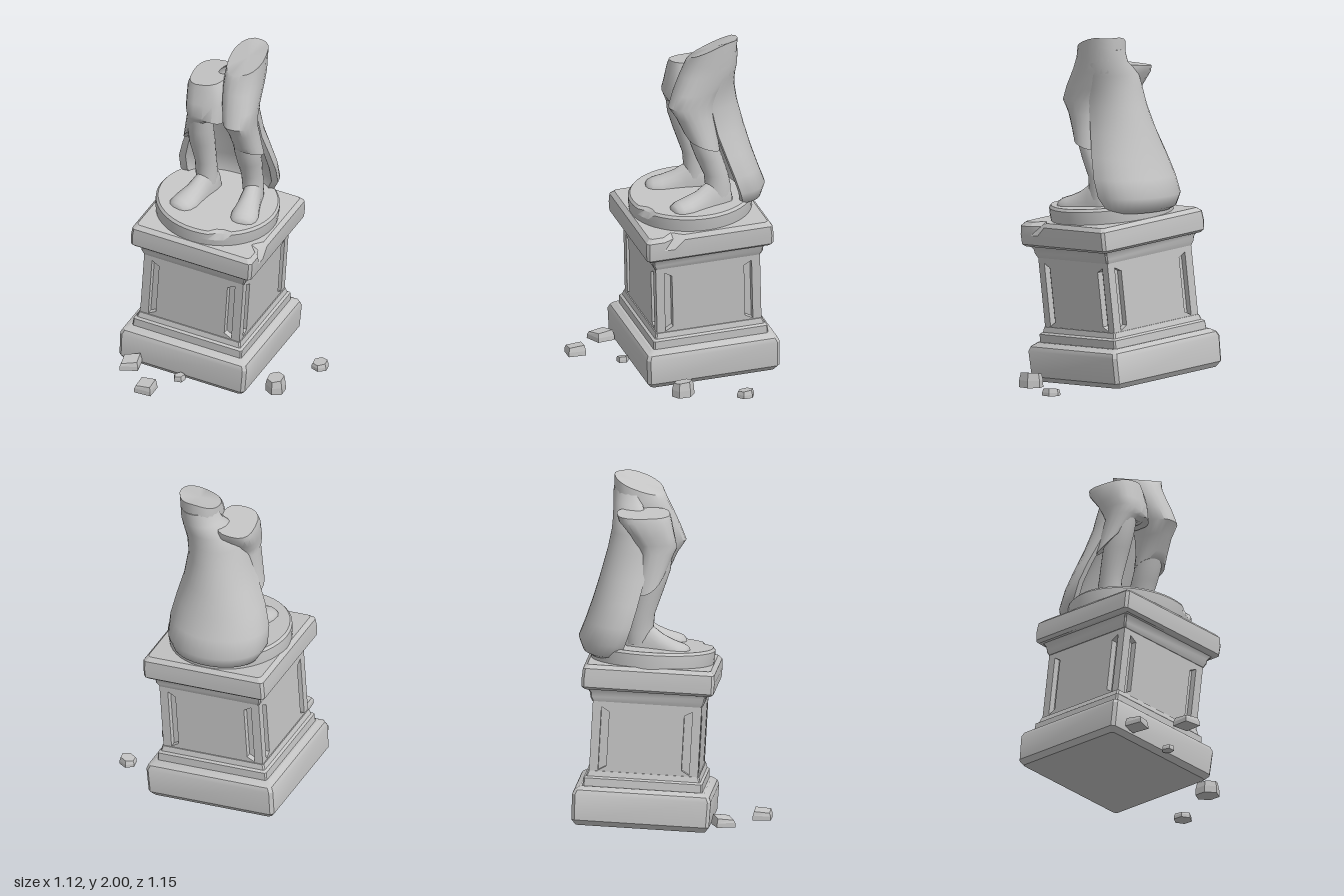
import * as THREE from 'three';
import { toCreasedNormals } from 'three/addons/utils/BufferGeometryUtils.js';

const stone = new THREE.MeshStandardMaterial({ color: 0xc4c4c4 });
stone.name = 'grey stone';

const V = (x, y, z) => new THREE.Vector3(x, y, z);

// Closed skin over rings of points (counter-clockwise from above, listed upward)
function loft(rings, crease = 0.7) {
  const n = rings[0].length, pos = [], idx = [];
  const push = (p) => pos.push(p.x, p.y, p.z) / 3 - 1;
  rings.forEach((r) => r.forEach(push));
  for (let k = 0; k < rings.length - 1; k++) {
    for (let i = 0; i < n; i++) {
      const a = k * n + i, b = k * n + (i + 1) % n;
      idx.push(a, b, b + n, a, b + n, a + n);
    }
  }
  [rings[0], rings[rings.length - 1]].forEach((r, top) => {
    const c = r.reduce((s, p) => s.add(p), V(0, 0, 0)).divideScalar(n);
    const ci = push(c), first = r.map(push)[0];
    for (let i = 0; i < n; i++) {
      const a = first + i, b = first + (i + 1) % n;
      if (top) idx.push(ci, a, b); else idx.push(ci, b, a);
    }
  });
  const g = new THREE.BufferGeometry();
  g.setAttribute('position', new THREE.Float32BufferAttribute(pos, 3));
  g.setIndex(idx);
  return toCreasedNormals(g, crease);
}

// Ellipse ring; power below 1 makes it boxier, y may be a rule of x and z
function oval(y, cx, cz, rx, rz, power = 1, n = 20) {
  const bend = (v) => Math.sign(v) * Math.abs(v) ** power;
  return Array.from({ length: n }, (_, i) => {
    const a = i / n * Math.PI * 2;
    const x = cx + rx * bend(Math.cos(a)), z = cz - rz * bend(Math.sin(a));
    return V(x, typeof y === 'function' ? y(x, z) : y, z);
  });
}

// Square ring with cut corners and an optional notch in the +x side
function square(y, h, c = 0.02, notch = null) {
  const pts = [];
  for (let k = 0; k < 4; k++) {
    const side = [[h, c - h], [h, h - c]];
    if (k === 0 && notch !== null) side.splice(1, 0, [h, -0.27], [h - notch, -0.21], [h, -0.15]);
    side.forEach(([u, v]) => {
      for (let t = 0; t < k; t++) [u, v] = [-v, u];
      pts.push(V(u, y, -v));
    });
  }
  return pts;
}

function add(parent, name, geometry) {
  const m = new THREE.Mesh(geometry, stone);
  m.name = name;
  parent.add(m);
  return m;
}

function makePedestal() {
  const g = new THREE.Group();
  g.name = 'pedestal';
  const block = (name, list) => add(g, name, loft(list.map(([y, h, c]) => square(y, h, c)), 0.5));
  block('base', [[0, 0.365, 0.015], [0.03, 0.388, 0.018], [0.175, 0.391, 0.018], [0.2, 0.38, 0.018],
    [0.22, 0.35, 0.018]]);
  block('lowerMoulding', [[0.215, 0.338, 0.008], [0.265, 0.335, 0.008], [0.275, 0.322, 0.008], [0.305, 0.313, 0.008]]);
  block('bodyCore', [[0.28, 0.272, 0.01], [0.76, 0.272, 0.01]]);
  block('upperMoulding', [[0.7, 0.311, 0.008], [0.725, 0.322, 0.008], [0.75, 0.325, 0.008], [0.78, 0.345, 0.008]]);

  // Body faces, each with two upright slots
  const face = new THREE.Shape([[-0.307, 0.28], [0.307, 0.28], [0.307, 0.74], [-0.307, 0.74]]
    .map(([x, y]) => new THREE.Vector2(x, y)));
  for (const s of [-1, 1]) {
    face.holes.push(new THREE.Path([[0.257, 0.31], [0.257, 0.67], [0.212, 0.645], [0.212, 0.335]]
      .map(([x, y]) => new THREE.Vector2(s * x, y))));
  }
  const faceGeometry = new THREE.ExtrudeGeometry(face, { depth: 0.037, bevelEnabled: false });
  faceGeometry.translate(0, 0, 0.27);
  for (let k = 0; k < 4; k++) add(g, 'bodyFace', faceGeometry).rotation.y = k * Math.PI / 2;

  // Chipped cap slab
  add(g, 'cap', loft([
    square(0.77, 0.355, 0.012, 0), square(0.785, 0.372, 0.015, 0), square(0.84, 0.374, 0.015, 0),
    square(0.89, 0.37, 0.015, 0.03), square(0.912, 0.348, 0.015, 0.05),
  ], 0.5));

  // Round plinth with a chip in its front rim
  const disc = [[0.9, 0.345, 1], [0.95, 0.35, 1], [0.985, 0.35, 0.95], [1.0, 0.338, 0.92]];
  add(g, 'roundPlinth', loft(disc.map(([y, r, chip]) => oval(y, -0.01, 0, r, r, 1, 48)
    .map((p, i) => (i === 39 || i === 40 ? V(p.x * chip, p.y, p.z * chip) : p))), 0.5));

  g.rotation.set(0.06, -0.13, -0.08, 'XZY');
  g.position.set(-0.135, 0.054, -0.148);
  return g;
}

// Bare foot with a flat sole, pointing along +z from the ankle
function addFoot(parent, name, x, y, z, turn) {
  const sections = [[-0.085, 0.03, 0.06], [-0.07, 0.05, 0.11], [-0.02, 0.058, 0.17], [0.05, 0.06, 0.14],
    [0.12, 0.068, 0.095], [0.19, 0.08, 0.068], [0.24, 0.076, 0.055], [0.27, 0.058, 0.042], [0.283, 0.03, 0.025]];
  const geo = loft(sections.map(([t, w, h]) => oval(t, 0, 0, w, h)
    .map((p) => V(p.x, p.y, Math.min(p.z, 0)))), 0.9);
  geo.rotateX(Math.PI / 2);
  const foot = add(parent, name, geo);
  foot.position.set(x, y, z);
  foot.rotation.set(0.05, turn, -0.08);
}

function makeFigure() {
  const g = new THREE.Group();
  g.name = 'brokenFigure';
  const limb = (name, list) => add(g, name, loft(list.map((s) => oval(...s)), 0.8));

  // Calves and feet
  limb('leftCalf', [[1.05, 0.115, -0.18, 0.055, 0.075], [1.13, 0.113, -0.18, 0.06, 0.074],
    [1.2, 0.11, -0.17, 0.06, 0.07], [1.3, 0.108, -0.13, 0.07, 0.076], [1.38, 0.105, -0.1, 0.074, 0.076],
    [1.5, 0.1, -0.07, 0.07, 0.08]]);
  limb('rightCalf', [[1.08, -0.155, -0.17, 0.058, 0.075], [1.15, -0.155, -0.17, 0.062, 0.074],
    [1.25, -0.157, -0.155, 0.061, 0.068], [1.4, -0.165, -0.11, 0.074, 0.076], [1.5, -0.165, -0.08, 0.073, 0.08],
    [1.63, -0.155, -0.06, 0.072, 0.08]]);
  addFoot(g, 'leftFoot', 0.112, 1.025, -0.175, 0.07);
  addFoot(g, 'rightFoot', -0.155, 1.05, -0.165, -0.37);

  // Bent left leg in breeches, broken off on a slant
  const leftHem = (x, z) => 1.39 - 0.15 * (x - 0.11) + 0.35 * (z + 0.09);
  const leftBreak = (x, z) => Math.min(2, 1.955 + 0.3 * (x - 0.09) - 0.35 * (z + 0.16));
  limb('leftBreeches', [[leftHem, 0.115, -0.095, 0.085, 0.09], [1.46, 0.108, -0.075, 0.08, 0.095],
    [1.55, 0.095, -0.05, 0.08, 0.11, 0.9], [1.62, 0.085, -0.03, 0.09, 0.135, 0.8],
    [1.7, 0.08, -0.06, 0.1, 0.135, 0.8], [1.8, 0.075, -0.13, 0.11, 0.16, 0.85],
    [1.87, 0.08, -0.152, 0.112, 0.148, 0.85], [leftBreak, 0.087, -0.16, 0.112, 0.14, 0.85]]);

  // Right leg, broken off lower down, hem hanging on the outside
  const rightHem = (x, z) => 1.47 + 0.8 * (x + 0.18) + 0.6 * (z + 0.12);
  limb('rightBreeches', [[rightHem, -0.178, -0.125, 0.097, 0.095], [1.6, -0.135, -0.075, 0.1, 0.1, 0.8],
    [(x) => 1.62 - 0.3 * (x + 0.125), -0.122, -0.075, 0.115, 0.115, 0.65], [1.7, -0.12, -0.1, 0.12, 0.125, 0.65],
    [1.78, -0.122, -0.14, 0.12, 0.15, 0.7],
    [(x) => 1.82 + 0.1 * (x + 0.13), -0.127, -0.15, 0.105, 0.15, 0.75]]);

  // Cape: crescent cross-sections (y, centre x, half width, front z, back z, hollow)
  const cape = [[1.01, -0.055, 0.2, -0.33, -0.45, 0.3], [1.03, -0.055, 0.25, -0.3, -0.485, 0.4],
    [1.1, -0.055, 0.287, -0.27, -0.51, 0.5], [1.2, -0.055, 0.285, -0.235, -0.47, 0.5],
    [1.32, -0.05, 0.255, -0.195, -0.428, 0.5], [1.45, -0.04, 0.212, -0.155, -0.388, 0.45],
    [1.6, -0.025, 0.178, -0.125, -0.345, 0.3], [1.7, -0.01, 0.175, -0.12, -0.322, 0.1],
    [1.78, 0.015, 0.165, -0.15, -0.312, 0], [1.85, 0.07, 0.118, -0.17, -0.308, 0],
    [1.93, 0.088, 0.1, -0.19, -0.304, 0]];
  add(g, 'cape', loft(cape.map(([y, cx, w, front, back, hollow]) => {
    const ring = [], steps = 18;
    for (let i = 0; i <= steps; i++) {
      const a = i / steps * Math.PI;
      ring.push(V(cx + w * Math.cos(a), y, front + (back - front) * Math.sin(a) ** 0.9));
    }
    for (let i = 1; i < steps; i++) {
      const a = Math.PI * (1 - i / steps);
      ring.push(V(cx + w * 0.88 * Math.cos(a), y, front + 0.02 + (back - front) * hollow * Math.sin(a)));
    }
    return ring;
  }), 0.9));
  return g;
}

// Loose fragments: x, base y, z, radius x, radius z, height, sides, turn
const fragments = [
  [0.345, 0, 0.14, 0.058, 0.072, 0.08, 6, 0.4], [0.51, 0, -0.17, 0.05, 0.054, 0.038, 6, 0.5],
  [-0.305, 0.09, 0.51, 0.07, 0.075, 0.05, 4, 0.65], [-0.465, 0.09, 0.28, 0.08, 0.068, 0.05, 4, 0.95],
  [-0.18, 0.05, 0.275, 0.036, 0.036, 0.03, 5, 0.3],
];

export function createModel() {
  const model = new THREE.Group();
  model.name = 'ruinedStatue';
  model.add(makePedestal(), makeFigure());
  for (const [x, y, z, rx, rz, h, n, turn] of fragments) {
    const top = (px) => h + 0.15 * px;
    const f = add(model, 'rubble', loft([oval(0, 0, 0, rx, rz, 1, n),
      oval(h * 0.5, 0, 0, rx * 0.98, rz * 0.98, 1, n), oval(top, 0, 0, rx * 0.85, rz * 0.85, 1, n)], 0.1));
    f.position.set(x, y, z);
    f.rotation.y = turn;
  }
  return model;
}
